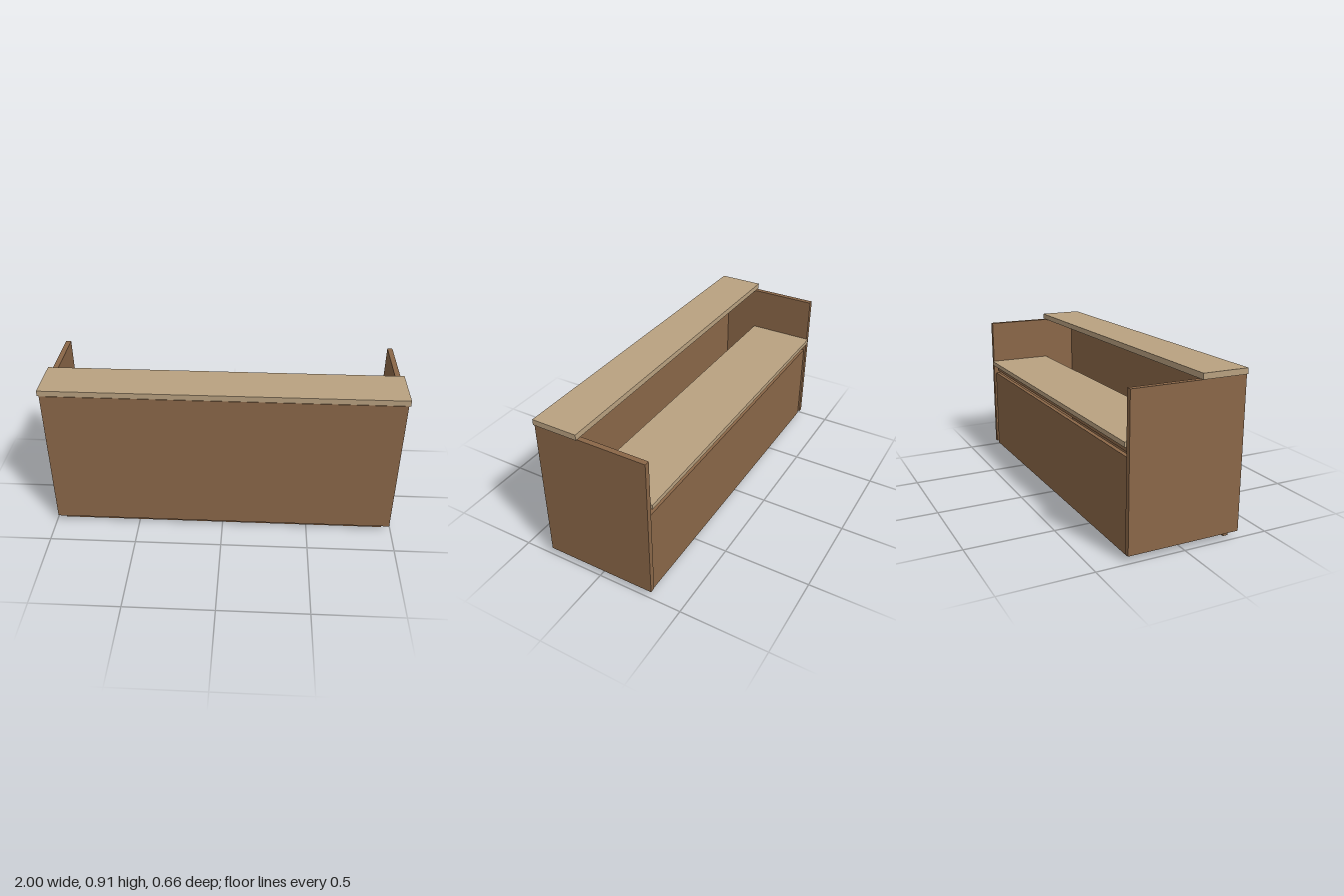
import * as THREE from 'three';

const brownWood = new THREE.MeshStandardMaterial({ color: 0x8a6748 });
brownWood.name = 'brown wood';
const paleWood = new THREE.MeshStandardMaterial({ color: 0xb9a180 });
paleWood.name = 'pale wood';

// Box given by its half width and its y and z ranges, centred on x = 0
function board(name, material, halfWidth, [y0, y1], [z0, z1]) {
  const mesh = new THREE.Mesh(new THREE.BoxGeometry(halfWidth * 2, y1 - y0, z1 - z0), material);
  mesh.position.set(0, (y0 + y1) / 2, (z0 + z1) / 2);
  mesh.name = name;
  return mesh;
}

// Front and both sides, mitred into one U-shaped plan and extruded upwards
function shell() {
  const plan = [
    [-0.99, 0.32], [-0.99, -0.33], [0.99, -0.33], [0.99, 0.32],
    [0.96, 0.32], [0.96, -0.30], [-0.96, -0.30], [-0.96, 0.32],
  ].map(([x, y]) => new THREE.Vector2(x, y));
  const geometry = new THREE.ExtrudeGeometry(new THREE.Shape(plan), { depth: 0.84, bevelEnabled: false });
  geometry.rotateX(-Math.PI / 2);
  const mesh = new THREE.Mesh(geometry, brownWood);
  mesh.position.y = 0.035;
  mesh.name = 'frontAndSidePanels';
  return mesh;
}

export function createModel() {
  const desk = new THREE.Group();
  desk.name = 'receptionDesk';
  desk.add(
    shell(),
    // Front structure: lining panel standing on a recessed plinth
    board('innerFrontPanel', brownWood, 0.959, [0.036, 0.874], [0.267, 0.301]),
    board('plinth', brownWood, 0.95, [0, 0.036], [0.267, 0.298]),
    // Rear structure: modesty panel with a rail above it
    board('modestyPanel', brownWood, 0.957, [0.02, 0.53], [-0.309, -0.285]),
    board('worktopRail', brownWood, 0.935, [0.55, 0.588], [-0.30, -0.27]),
    // Horizontal tops
    board('worktop', paleWood, 0.959, [0.587, 0.613], [-0.33, 0.066]),
    board('counterTop', paleWood, 1, [0.877, 0.909], [0.068, 0.33]),
  );
  return desk;
}
